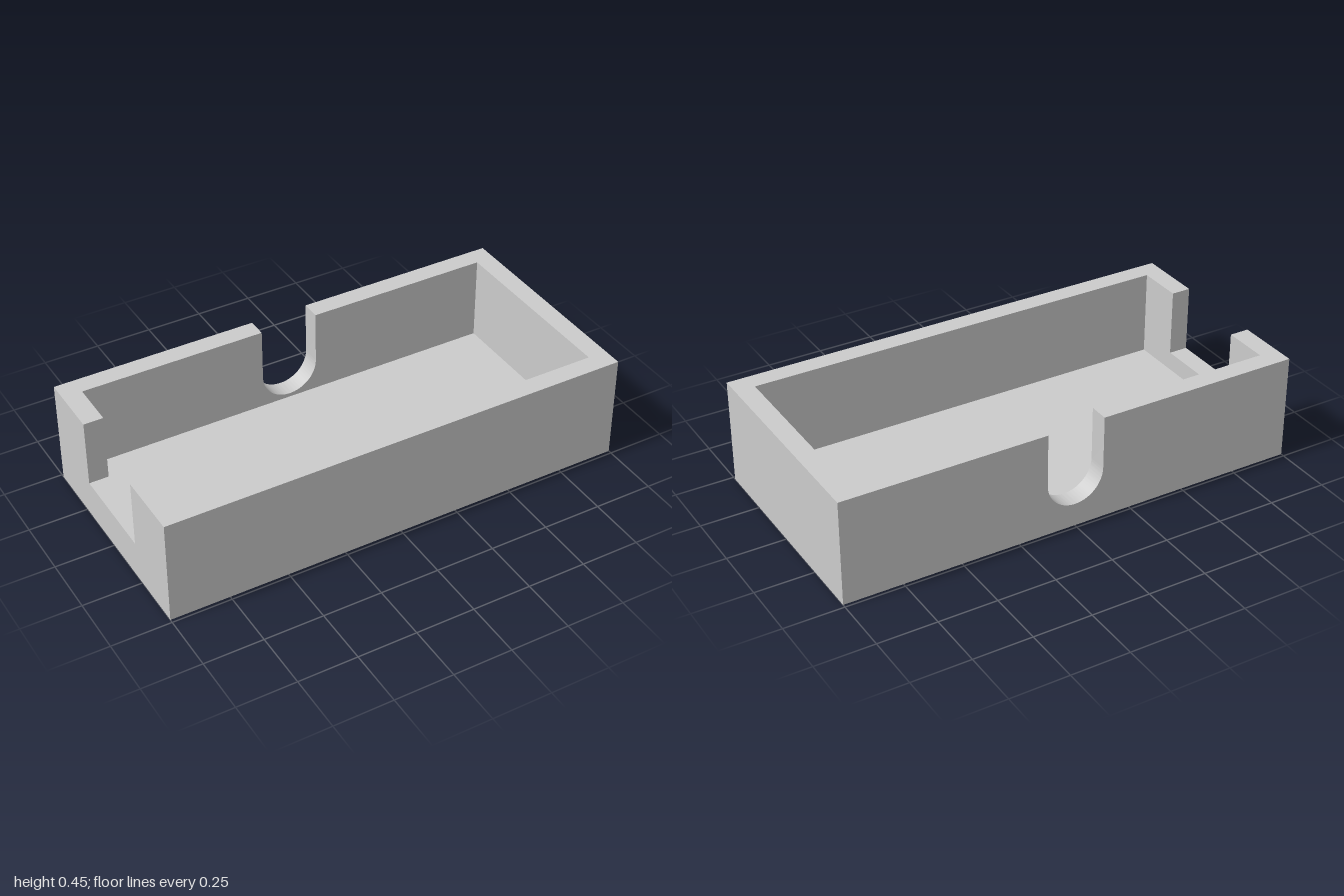
import * as THREE from 'three';
import { toCreasedNormals } from 'three/addons/utils/BufferGeometryUtils.js';

const W = 2, H = 0.45, D = 0.97; // outer size
const T = 0.083; // wall and floor thickness

const material = new THREE.MeshStandardMaterial({ color: 0xcccccc });

// Upright wall outline of the given length; cut() draws a notch into the top edge
function wallGeometry(length, cut) {
  const shape = new THREE.Shape();
  shape.moveTo(-length / 2, 0);
  shape.lineTo(length / 2, 0);
  shape.lineTo(length / 2, H);
  if (cut) cut(shape);
  shape.lineTo(-length / 2, H);
  shape.closePath();
  const geo = new THREE.ExtrudeGeometry(shape, { depth: T, bevelEnabled: false, curveSegments: 32 });
  geo.translate(0, 0, -T / 2);
  return toCreasedNormals(geo, 0.5);
}

// Round-bottomed cable slot
function roundSlot(shape) {
  const r = 0.125, centreY = 0.225;
  shape.lineTo(r, H);
  shape.lineTo(r, centreY);
  shape.absarc(0, centreY, r, 0, -Math.PI, true);
  shape.lineTo(-r, H);
}

// Square-cornered opening
function squareNotch(shape) {
  const half = 0.206, bottom = 0.163;
  shape.lineTo(half, H);
  shape.lineTo(half, bottom);
  shape.lineTo(-half, bottom);
  shape.lineTo(-half, H);
}

export function createModel() {
  const group = new THREE.Group();
  group.name = 'openCase';

  const add = (name, geometry, x, y, z, turn = 0) => {
    const mesh = new THREE.Mesh(geometry, material);
    mesh.name = name;
    mesh.position.set(x, y, z);
    mesh.rotation.y = turn;
    group.add(mesh);
  };

  const sideX = (W - T) / 2, endZ = (D - T) / 2, innerD = D - 2 * T;

  // Long walls run the full width, short walls fit between them
  add('frontWall', wallGeometry(W), 0, 0, endZ);
  add('backWall', wallGeometry(W, roundSlot), 0, 0, -endZ);
  add('leftWall', wallGeometry(innerD), sideX, 0, 0, Math.PI / 2);
  add('rightWall', wallGeometry(innerD, squareNotch), -sideX, 0, 0, -Math.PI / 2);

  // Floor inside the walls
  add('floor', new THREE.BoxGeometry(W - 2 * T, T, innerD), 0, T / 2, 0);

  return group;
}
